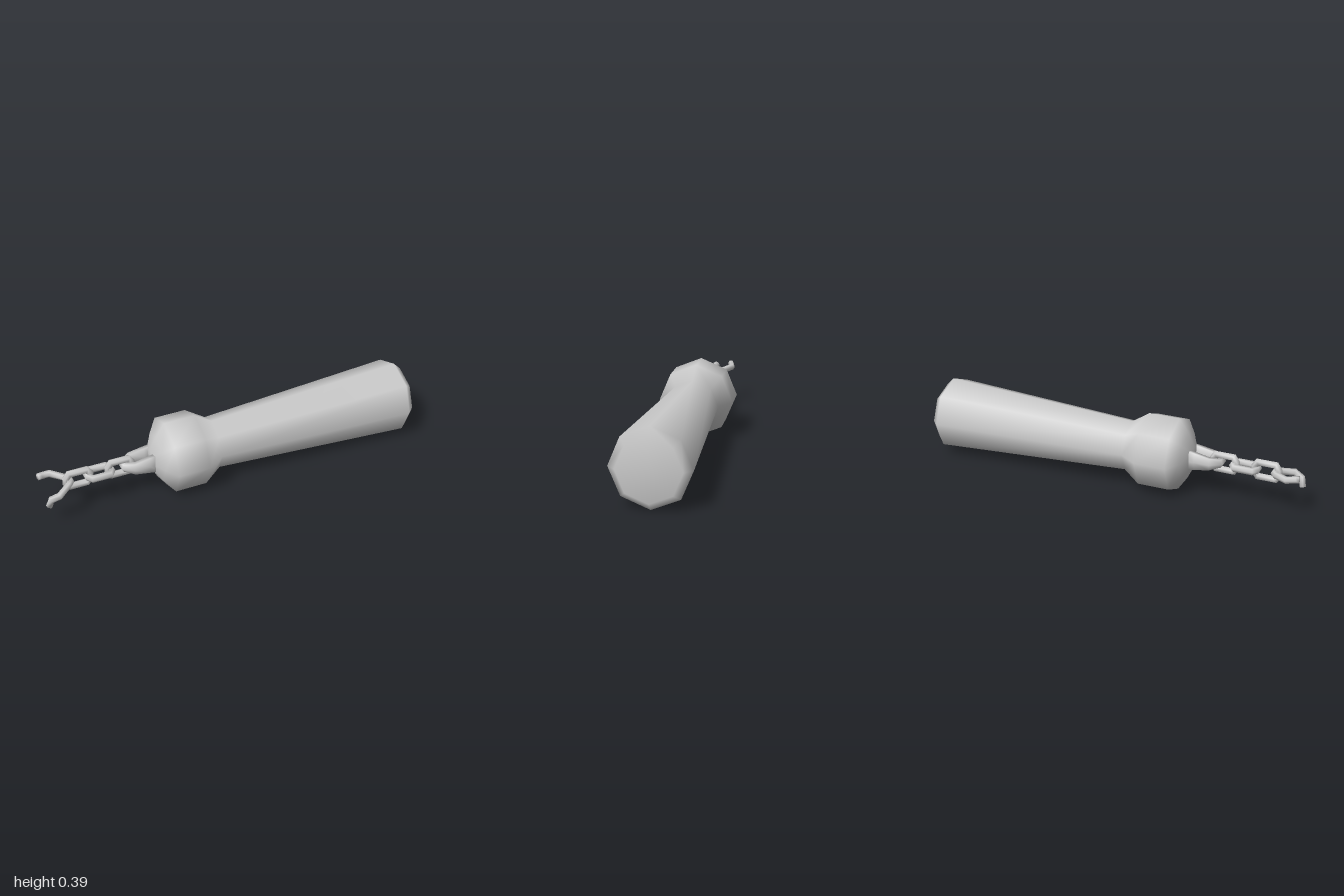
import * as THREE from 'three';

const CY = 0.195; // height of the long axis
const V = (x, y, z) => new THREE.Vector3(x, y, z);

// Sweeps a six-sided section along a polyline with mitred corners.
// radii(i) gives [in-plane radius, radius along the plane normal].
function sweep(points, normal, radii, closed) {
  const sides = 6, n = points.length, pos = [], idx = [];
  for (let i = 0; i < n; i++) {
    const prev = closed ? points[(i + n - 1) % n] : points[Math.max(i - 1, 0)];
    const next = closed ? points[(i + 1) % n] : points[Math.min(i + 1, n - 1)];
    let d1 = points[i].clone().sub(prev).normalize();
    let d2 = next.clone().sub(points[i]).normalize();
    if (d1.lengthSq() === 0) d1 = d2;
    if (d2.lengthSq() === 0) d2 = d1;
    const t = d1.clone().add(d2).normalize();
    const b = normal.clone().cross(t).normalize();
    const up = t.clone().cross(b);
    const [rb, rn] = radii(i);
    const miter = 1 / Math.max(t.dot(d1), 0.6);
    for (let j = 0; j < sides; j++) {
      const a = (j / sides) * Math.PI * 2;
      const p = points[i].clone()
        .addScaledVector(b, Math.cos(a) * rb * miter)
        .addScaledVector(up, Math.sin(a) * rn);
      pos.push(p.x, p.y, p.z);
    }
  }
  for (let i = 0; i < (closed ? n : n - 1); i++) {
    for (let j = 0; j < sides; j++) {
      const a = i * sides + j, b = i * sides + (j + 1) % sides;
      const c = ((i + 1) % n) * sides + (j + 1) % sides, d = ((i + 1) % n) * sides + j;
      idx.push(a, b, c, a, c, d);
    }
  }
  if (!closed) {
    const e = (n - 1) * sides;
    for (let j = 1; j < sides - 1; j++) idx.push(0, j + 1, j, e, e + j, e + j + 1);
  }
  const geo = new THREE.BufferGeometry();
  geo.setAttribute('position', new THREE.Float32BufferAttribute(pos, 3));
  geo.setIndex(idx);
  geo.computeVertexNormals();
  return geo;
}

export function createModel() {
  const model = new THREE.Group();
  const material = new THREE.MeshStandardMaterial({ color: 0xcccccc });
  const add = (name, geo) => {
    const mesh = new THREE.Mesh(geo, material);
    mesh.name = name;
    model.add(mesh);
    return mesh;
  };

  // Eight-sided handle with a bulging collar, turned along x
  const profile = [
    [0, -0.435], [0.055, -0.435], [0.125, -0.4], [0.195, -0.352], [0.195, -0.187],
    [0.134, -0.095], [0.195, 0.96], [0.155, 1], [0, 1],
  ].map(([r, x]) => new THREE.Vector2(r, x));
  const handle = add('handle', new THREE.LatheGeometry(profile, 8));
  handle.rotation.z = -Math.PI / 2;
  handle.position.y = CY;

  // Tapering staple that ties the chain to the handle
  const half = [[-0.4, 0.043], [-0.455, 0.043], [-0.53, 0.043], [-0.573, 0.014]];
  const staple = [
    ...half.map(([x, z]) => V(x, CY, -z)),
    ...half.slice().reverse().map(([x, z]) => V(x, CY, z)),
  ];
  const thick = [0.062, 0.052, 0.036, 0.024];
  add('staple', sweep(staple, V(0, 1, 0), i => [0.022, thick[Math.min(i, 7 - i)]], false));

  // Closed chain links, alternately upright and flat
  const outline = [
    [0.062, -0.013], [0.062, 0.013], [0.045, 0.038], [-0.045, 0.038],
    [-0.062, 0.013], [-0.062, -0.013], [-0.045, -0.038], [0.045, -0.038],
  ].map(([x, y]) => V(x, y, 0));
  const linkGeo = sweep(outline, V(0, 0, 1), () => [0.018, 0.019], true);
  [-0.597, -0.705, -0.815].forEach((x, i) => {
    const link = add('chainLink' + (i + 1), linkGeo);
    link.position.set(x, CY, 0);
    link.rotation.x = i % 2 ? Math.PI / 2 : 0;
  });

  // Last link, torn open with one arm bent down
  const torn = [
    V(-1, 0.213, -0.066), V(-0.983, 0.212, -0.07), V(-0.938, 0.205, -0.08),
    V(-0.872, CY, -0.03), V(-0.857, CY, -0.012), V(-0.857, CY, 0.012),
    V(-0.872, 0.192, 0.03), V(-0.935, 0.178, 0.077), V(-0.975, 0.16, 0.066), V(-0.986, 0.117, 0.056),
  ];
  add('brokenLink', sweep(torn, V(0, 1, 0), () => [0.017, 0.018], false));

  return model;
}
